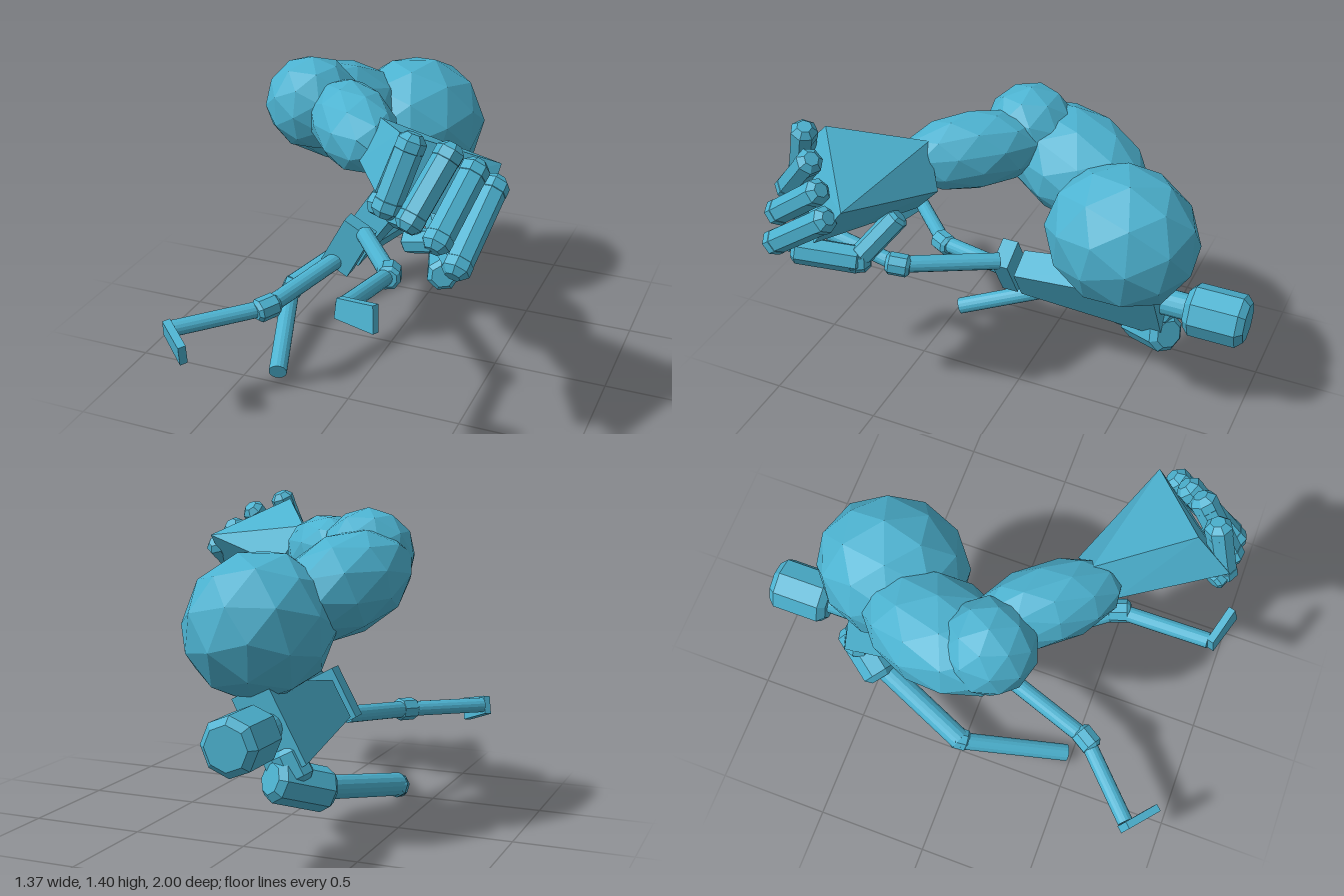
import * as THREE from 'three';
import { ConvexGeometry } from 'three/addons/geometries/ConvexGeometry.js';

const V = (p) => new THREE.Vector3(...p);
const UP = new THREE.Vector3(0, 1, 0);

export function createModel() {
  const model = new THREE.Group();
  const teal = new THREE.MeshStandardMaterial({ color: 0x4cb2d0, flatShading: true });
  teal.name = 'teal';

  function add(name, geometry) {
    const mesh = new THREE.Mesh(geometry, teal);
    mesh.name = name;
    model.add(mesh);
    return mesh;
  }

  // Places a mesh modelled along +y so that it runs from a to b
  function span(mesh, a, b) {
    mesh.position.copy(a).add(b).multiplyScalar(0.5);
    mesh.quaternion.setFromUnitVectors(UP, b.clone().sub(a).normalize());
  }

  // Round rod between two points
  function rod(name, a, b, r, sides = 16) {
    const p = V(a), q = V(b);
    span(add(name, new THREE.CylinderGeometry(r, r, p.distanceTo(q), sides)), p, q);
  }

  // Faceted rod with chamfered ends
  function nub(name, a, b, r, sides = 8, chamfer = 0.3) {
    const p = V(a), q = V(b), h = p.distanceTo(q) / 2, c = r * chamfer;
    const profile = [[0, -h], [r - c, -h], [r, -h + c], [r, h - c], [r - c, h], [0, h]];
    const points = profile.map(([x, y]) => new THREE.Vector2(x, y));
    span(add(name, new THREE.LatheGeometry(points, sides)), p, q);
  }

  // Low-poly ellipsoid stretched along a direction
  function muscle(name, centre, direction, length, width, height = width) {
    const mesh = add(name, new THREE.IcosahedronGeometry(1, 1));
    mesh.scale.set(width, length, height);
    mesh.position.set(...centre);
    mesh.quaternion.setFromUnitVectors(UP, V(direction).normalize());
  }

  const block = (name, corners) => add(name, new ConvexGeometry(corners.map(V)));

  // Rectangle across the rolled body at depth z
  function section(x, y, z, halfWidth, halfDepth) {
    const out = [];
    for (const s of [-1, 1]) for (const t of [-1, 1]) {
      out.push([x + 0.48 * s * halfWidth + 0.877 * t * halfDepth,
        y + 0.877 * s * halfWidth - 0.48 * t * halfDepth, z]);
    }
    return out;
  }

  // Body and head
  block('pelvis', [...section(-0.155, 0.53, 0.15, 0.12, 0.07), ...section(-0.155, 0.53, 0.075, 0.12, 0.07)]);
  block('torso', [...section(-0.155, 0.51, 0.05, 0.09, 0.068), ...section(-0.17, 0.53, -0.62, 0.18, 0.085)]);
  rod('neck', [-0.17, 0.545, -0.6], [-0.17, 0.545, -0.76], 0.06);
  nub('head', [-0.17, 0.545, -0.73], [-0.17, 0.545, -1.0], 0.12, 8, 0.25);
  nub('rightCollar', [-0.22, 0.46, -0.58], [-0.29, 0.33, -0.58], 0.07);

  // Small right arm
  nub('rightShoulder', [-0.19, 0.35, -0.65], [-0.35, 0.265, -0.43], 0.092);
  rod('rightUpperArm', [-0.31, 0.28, -0.46], [-0.495, 0.2, 0.0], 0.05);
  nub('rightElbow', [-0.497, 0.205, -0.04], [-0.485, 0.185, 0.04], 0.052);
  rod('rightForearm', [-0.5, 0.2, 0.0], [-0.345, 0.045, 0.475], 0.04);

  // Legs: hip, knee, ankle
  const legs = {
    right: [[-0.21, 0.455, 0.13], [-0.345, 0.41, 0.55], [-0.635, 0.4, 0.83]],
    left: [[-0.07, 0.605, 0.13], [0.19, 0.65, 0.5], [0.17, 0.72, 0.91]],
  };
  for (const [side, [hip, knee, ankle]] of Object.entries(legs)) {
    rod(side + 'Thigh', hip, knee, 0.038);
    rod(side + 'Shin', knee, ankle, 0.035);
    const bend = V(ankle).sub(V(hip)).setLength(0.055);
    nub(side + 'Knee', V(knee).sub(bend).toArray(), V(knee).add(bend).toArray(), 0.052);
  }

  // Feet: sole corners and thickness toward the heel side
  function foot(name, sole, offset) {
    block(name, [...sole, ...sole.map((p) => p.map((v, i) => v + offset[i]))]);
  }
  foot('rightFoot', [[-0.665, 0.44, 0.855], [-0.68, 0.36, 0.83], [-0.535, 0.4, 0.96], [-0.55, 0.3, 0.93]], [0.022, 0.005, -0.025]);
  foot('leftFoot', [[0.15, 0.76, 0.93], [0.145, 0.68, 0.945], [0.315, 0.785, 0.975], [0.325, 0.68, 1.0]], [0.01, -0.005, -0.03]);

  // Huge left arm
  muscle('leftShoulder', [-0.055, 0.92, -0.45], [0.2, -0.2, -0.95], 0.342, 0.307);
  muscle('leftUpperArm', [-0.3, 1.065, -0.14], [0.3, -0.25, -0.92], 0.37, 0.245, 0.212);
  muscle('leftElbow', [-0.32, 1.17, 0.085], [0, 1, 0], 0.202, 0.203);
  muscle('leftForearm', [-0.07, 1.16, 0.24], [0.63, -0.02, 0.77], 0.325, 0.169);

  // Flared palm, wrist end then knuckle end
  block('palm', [
    [0.06, 1.125, 0.49], [0.15, 0.95, 0.41], [0.19, 1.09, 0.285], [0.1, 1.265, 0.365],
    [0.29, 1.2, 0.885], [0.605, 0.99, 0.645], [0.635, 1.2, 0.48], [0.32, 1.37, 0.72],
  ]);

  // Curled fingers: knuckle, middle joint, tip
  const fingers = [
    [[0.385, 1.355, 0.785], [0.325, 1.14, 0.86], [0.26, 1.13, 0.83]],
    [[0.5, 1.3, 0.7], [0.42, 1.1, 0.865], [0.33, 1.08, 0.8]],
    [[0.575, 1.22, 0.63], [0.52, 1.035, 0.86], [0.385, 0.99, 0.82]],
    [[0.635, 1.14, 0.57], [0.59, 0.935, 0.84], [0.49, 0.97, 0.73]],
  ];
  fingers.forEach(([knuckle, joint, tip], i) => {
    const n = 'finger' + (i + 1);
    nub(n + 'Base', knuckle, joint, 0.055, 7);
    nub(n + 'Tip', joint, tip, 0.047, 7);
    const curl = V(joint).sub(V(knuckle)).setLength(0.045);
    for (const [part, p] of [['Knuckle', knuckle], ['Joint', joint]]) {
      nub(n + part, V(p).sub(curl).toArray(), V(p).add(curl).toArray(), 0.057, 7, 0.45);
    }
  });

  // Thumb hooking under the palm
  nub('thumbBase', [0.32, 1.02, 0.4], [0.43, 0.84, 0.54], 0.052, 7);
  nub('thumbJoint', [0.41, 0.825, 0.5], [0.46, 0.825, 0.6], 0.058, 7, 0.45);
  nub('thumbTip', [0.43, 0.825, 0.53], [0.525, 0.865, 0.81], 0.062, 7);

  return model;
}
